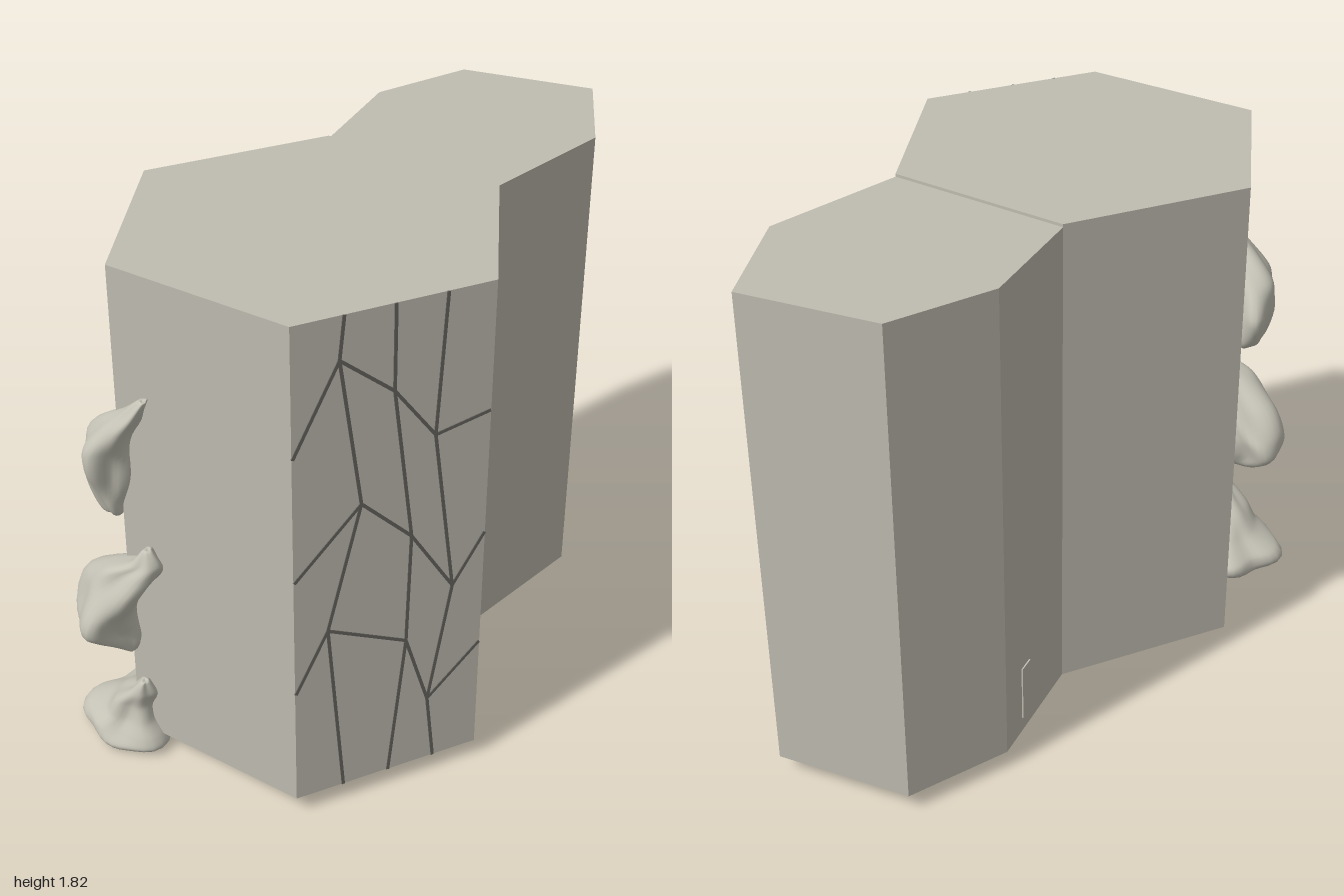
import * as THREE from 'three';

const stone = new THREE.MeshStandardMaterial({ color: 0xbfbcb0 });
stone.name = 'stone';
const crackDark = new THREE.MeshStandardMaterial({ color: 0x66655e });
crackDark.name = 'crackDark';
const growthPale = new THREE.MeshStandardMaterial({ color: 0xc6c4b7 });
growthPale.name = 'growthPale';

function add(parent, name, geometry, material) {
  const mesh = new THREE.Mesh(geometry, material);
  mesh.name = name;
  parent.add(mesh);
  return mesh;
}

// Upright prism from a footprint of [x, z] corners
function prism(corners, bottom, top) {
  const shape = new THREE.Shape(corners.map(([x, z]) => new THREE.Vector2(x, -z)));
  return new THREE.ExtrudeGeometry(shape, { depth: top - bottom, bevelEnabled: false })
    .rotateX(-Math.PI / 2).translate(0, bottom, 0);
}

// Lumpy smooth body lofted through horizontal sections [y, x, z, rx, rz]
function growth(sections, seed) {
  const first = sections[0], last = sections[sections.length - 1];
  const rows = [[...first.slice(0, 3), 0, 0], ...sections, [...last.slice(0, 3), 0, 0]];
  const centre = new THREE.CatmullRomCurve3(rows.map(r => new THREE.Vector3(r[1], r[0], r[2])), false, 'catmullrom', 0.4);
  const radius = new THREE.CatmullRomCurve3(rows.map(r => new THREE.Vector3(r[3], 0, r[4])), false, 'catmullrom', 0.4);
  const rings = 48, sides = 36, positions = [], index = [];
  for (let i = 0; i <= rings; i++) {
    const c = centre.getPoint(i / rings), r = radius.getPoint(i / rings);
    for (let j = 0; j < sides; j++) {
      const a = j / sides * Math.PI * 2;
      const k = 1 + 0.11 * Math.sin(3 * a + seed + c.y * 11) + 0.07 * Math.sin(5 * a - seed * 2 - c.y * 17);
      positions.push(c.x + Math.max(r.x, 0) * k * Math.cos(a), c.y, c.z + Math.max(r.z, 0) * k * Math.sin(a));
      if (i < rings) {
        const p = i * sides + j, n = i * sides + (j + 1) % sides;
        index.push(p, p + sides, n, n, p + sides, n + sides);
      }
    }
  }
  const g = new THREE.BufferGeometry();
  g.setAttribute('position', new THREE.Float32BufferAttribute(positions, 3));
  g.setIndex(index);
  g.computeVertexNormals();
  return g;
}

export function createModel() {
  const model = new THREE.Group();
  model.name = 'stoneColumns';
  const base = 0.068, top = 1.825;

  // Two adjoining columns
  add(model, 'frontColumn', prism([[-0.06, -0.33], [-0.63, 0], [-0.63, 0.665], [-0.055, 0.993], [0.515, 0.665], [0.515, 0]], base, top), stone);
  add(model, 'backColumn', prism([[-0.06, -0.33], [0.515, 0], [0.835, -0.41], [0.842, -0.85], [0.38, -1], [0.085, -0.755]], base, 1.815), stone);

  // Crack network on the front face, laid out as seen from the front
  const p = {
    a: [0.077, 1.681], b: [0.231, 1.536], c: [0.352, 1.348],
    d: [0.14, 1.169], e: [0.289, 1.0], f: [0.419, 0.763],
    g: [0.043, 0.725], h: [0.28, 0.594], i: [0.352, 0.324],
    t1: [0.09, top], t2: [0.231, top], t3: [0.376, top],
    b1: [0.09, base], b2: [0.231, base], b3: [0.376, base],
    l1: [-0.053, 1.386], l2: [-0.053, 0.942], l3: [-0.053, 0.507],
    r1: [0.513, 1.386], r2: [0.513, 0.937], r3: [0.513, 0.5],
  };
  const chains = ['t1 a d g b1', 't2 b e h b2', 't3 c f i b3',
    'l1 a b c r1', 'l2 d e f r2', 'l3 g h i r3'];
  const cracks = new THREE.Group();
  cracks.name = 'cracks';
  cracks.position.set(-0.055, 0, 0.993);
  cracks.rotation.y = Math.atan2(0.328, 0.57);
  const stretch = Math.hypot(0.328, 0.57) / 0.57;
  for (const chain of chains) {
    const points = chain.split(' ').map(k => new THREE.Vector2((p[k][0] + 0.055) * stretch, p[k][1]));
    for (let n = 1; n < points.length; n++) {
      const from = points[n - 1], d = points[n].clone().sub(from);
      const line = add(cracks, 'crack', new THREE.BoxGeometry(d.length(), 0.011, 0.004), crackDark);
      line.position.set(from.x + d.x / 2, from.y + d.y / 2, 0.001);
      line.rotation.z = Math.atan2(d.y, d.x);
    }
  }
  model.add(cracks);

  // Lumpy growths climbing the left-hand edge
  add(model, 'upperGrowth', growth([
    [0.935, -0.66, 0.62, 0.035, 0.05], [0.99, -0.67, 0.59, 0.055, 0.11], [1.1, -0.67, 0.59, 0.085, 0.14],
    [1.2, -0.66, 0.62, 0.09, 0.12], [1.28, -0.62, 0.67, 0.065, 0.08],
    [1.35, -0.57, 0.72, 0.035, 0.045], [1.41, -0.53, 0.745, 0.015, 0.02]], 1), growthPale);
  add(model, 'middleGrowth', growth([
    [0.395, -0.635, 0.66, 0.015, 0.03], [0.45, -0.67, 0.62, 0.08, 0.11], [0.51, -0.71, 0.61, 0.115, 0.16],
    [0.58, -0.7, 0.61, 0.115, 0.17], [0.67, -0.655, 0.64, 0.115, 0.14], [0.75, -0.595, 0.69, 0.095, 0.09],
    [0.8, -0.55, 0.73, 0.05, 0.05], [0.855, -0.545, 0.74, 0.015, 0.02]], 2.6), growthPale);
  add(model, 'lowerGrowth', growth([
    [0.005, -0.66, 0.57, 0.13, 0.16], [0.03, -0.66, 0.57, 0.165, 0.2], [0.07, -0.66, 0.57, 0.15, 0.19],
    [0.12, -0.645, 0.6, 0.095, 0.14], [0.18, -0.63, 0.64, 0.07, 0.09],
    [0.24, -0.6, 0.69, 0.045, 0.05], [0.295, -0.59, 0.715, 0.015, 0.02]], 4.2), growthPale);

  // Small raised slivers low on the back column
  const rightSliver = add(model, 'rightSliver', new THREE.BoxGeometry(0.008, 0.18, 0.03), stone);
  rightSliver.position.set(0.84, 0.24, -0.585);
  const leftSliver = add(model, 'leftSliver', new THREE.BoxGeometry(0.008, 0.21, 0.06), stone);
  leftSliver.position.set(0.036, 0.23, -0.615);
  leftSliver.rotation.y = Math.atan2(-0.145, 0.425);

  return model;
}
